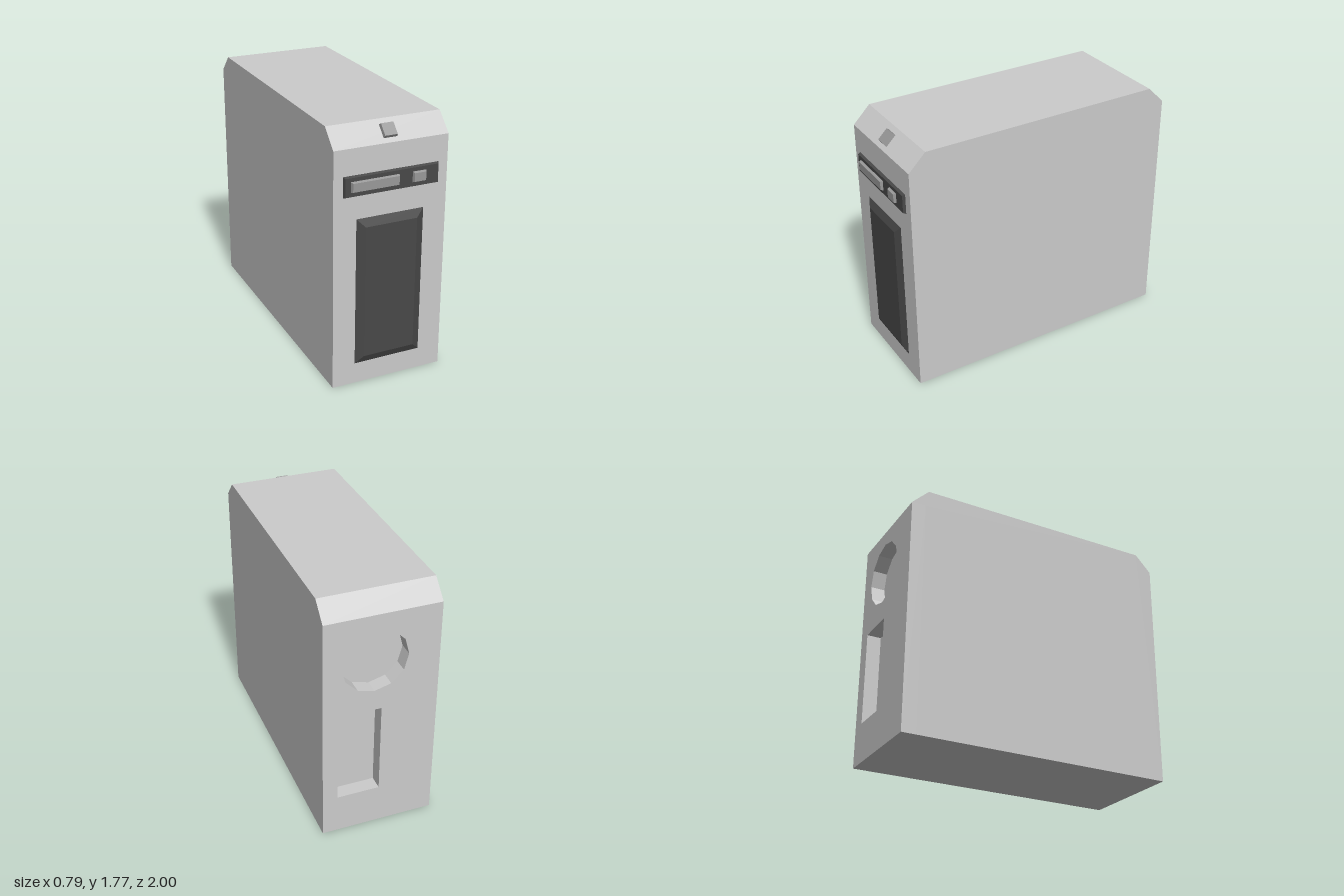
import * as THREE from 'three';

const W = 0.79, BACK = -1, FRONT = 0.965, RECESS = 0.1;
const SHOULDER = 1.65, TOP = 1.77, CHAMFER = 0.12;

const mat = (color) => new THREE.MeshStandardMaterial({ color, flatShading: true });
const caseMat = mat(0xcccccc), darkMat = mat(0x484848), buttonMat = mat(0x999999);

function mesh(name, geometry, material) {
  const m = new THREE.Mesh(geometry, material);
  m.name = name;
  return m;
}

// Block standing on z = 0 whose front face is inset on all four sides
function bevelBlock(w, h, d, inset) {
  const g = new THREE.BoxGeometry(w, h, d).translate(0, 0, d / 2);
  const p = g.attributes.position;
  for (let i = 0; i < p.count; i++) {
    if (p.getZ(i) < d / 2) continue;
    p.setX(i, p.getX(i) - Math.sign(p.getX(i)) * inset);
    p.setY(i, p.getY(i) - Math.sign(p.getY(i)) * inset);
  }
  g.computeVertexNormals();
  return g;
}

function frontBlock(name, x0, x1, y0, y1, z0, z1, inset, material) {
  const m = mesh(name, bevelBlock(x1 - x0, y1 - y0, z1 - z0, inset), material);
  m.position.set((x0 + x1) / 2, (y0 + y1) / 2, z0);
  return m;
}

const points = (list) => list.map(([x, y]) => new THREE.Vector2(x, y));

export function createModel() {
  const model = new THREE.Group();
  model.name = 'computerTower';

  // Case: side profile with chamfered top corners, extruded across the width
  const inner = BACK + RECESS;
  const profile = new THREE.Shape(points([
    [inner, 0], [FRONT, 0], [FRONT, SHOULDER], [FRONT - CHAMFER, TOP],
    [BACK + CHAMFER, TOP], [BACK, SHOULDER], [inner, SHOULDER],
  ]));
  const caseGeo = new THREE.ExtrudeGeometry(profile, { depth: W, bevelEnabled: false });
  caseGeo.translate(0, 0, -W / 2).rotateY(-Math.PI / 2);
  model.add(mesh('case', caseGeo, caseMat));

  // Back plate with a twelve-sided fan opening and a port opening
  const plate = new THREE.Shape(points([
    [-W / 2, 0], [W / 2, 0], [W / 2, SHOULDER], [-W / 2, SHOULDER],
  ]));
  const fan = [];
  for (let i = 0; i < 12; i++) {
    const a = -i * Math.PI / 6;
    fan.push([0.048 + 0.228 * Math.cos(a), 1.32 + 0.228 * Math.sin(a)]);
  }
  const port = [[-0.005, 0.285], [-0.005, 0.945], [0.29, 0.945], [0.29, 0.285]];
  for (const hole of [fan, port]) plate.holes.push(new THREE.Path(points(hole)));
  const plateGeo = new THREE.ExtrudeGeometry(plate, { depth: RECESS, bevelEnabled: false });
  model.add(mesh('backPlate', plateGeo.translate(0, 0, BACK), caseMat));

  // Front: lower panel, drive bay and its two buttons
  model.add(
    frontBlock('frontPanel', -0.237, 0.234, 0.147, 1.18, FRONT, 0.99, 0.055, darkMat),
    frontBlock('driveBay', -0.33, 0.33, 1.335, 1.475, FRONT, 0.983, 0.008, darkMat),
    frontBlock('driveSlot', -0.285, 0.047, 1.37, 1.442, 0.983, 1, 0.007, buttonMat),
    frontBlock('driveButton', 0.14, 0.234, 1.37, 1.442, 0.983, 1, 0.007, buttonMat),
  );

  // Power button on the front chamfer
  const power = mesh('powerButton', bevelBlock(0.094, 0.095, 0.022, 0.004), buttonMat);
  power.position.set(0, 1.708, 0.907);
  power.rotation.x = -Math.PI / 4;
  model.add(power);

  return model;
}
